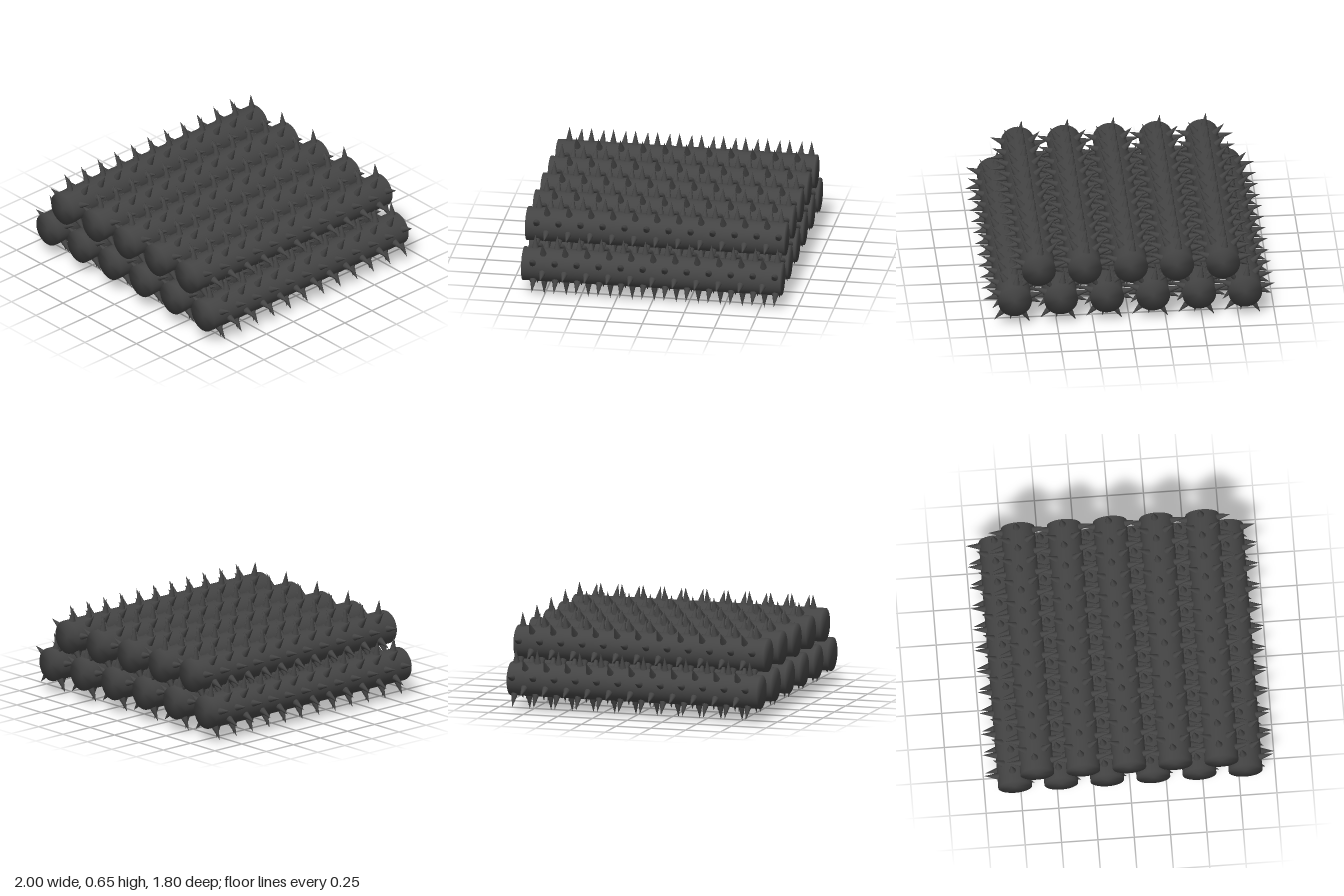
import * as THREE from 'three';
import { mergeGeometries, mergeVertices } from 'three/addons/utils/BufferGeometryUtils.js';

const RADIUS = 0.116, LENGTH = 1.8, TIP = 0.212, ROOT = 0.1;

// Solid bar along z, with shading that runs softly over the flat ends
function barGeometry() {
  const geo = new THREE.CylinderGeometry(RADIUS, RADIUS, LENGTH, 32);
  geo.rotateX(Math.PI / 2);
  geo.deleteAttribute('normal');
  geo.deleteAttribute('uv');
  const welded = mergeVertices(geo);
  welded.computeVertexNormals();
  return welded;
}

// Ring of five cones pointing outwards at depth z, turned by startDeg
function spikeRing(z, startDeg) {
  const cones = [];
  for (let i = 0; i < 5; i++) {
    const cone = new THREE.ConeGeometry(0.027, TIP - ROOT, 12, 1, true);
    cone.translate(0, (TIP + ROOT) / 2, 0);
    cone.rotateZ(THREE.MathUtils.degToRad(startDeg + i * 72 - 90));
    cone.translate(0, 0, z);
    cones.push(cone);
  }
  return cones;
}

// Two alternating sets of rings, staggered in angle and depth
function spikesGeometry() {
  const cones = [];
  for (let k = 0; k < 12; k++) {
    cones.push(...spikeRing(-0.862 + k * 0.153, 24));
    if (k < 11) cones.push(...spikeRing(-0.776 + k * 0.153, 60));
  }
  return mergeGeometries(cones);
}

export function createModel() {
  const model = new THREE.Group();
  model.name = 'spikedRollerStack';
  const material = new THREE.MeshStandardMaterial({ color: 0x444444 });
  const bar = barGeometry();
  const spikes = spikesGeometry();

  // Lower layer of six rollers, upper layer of five resting between them
  const layers = [
    { name: 'lowerRoller', count: 6, x: -0.793, y: 0.212 },
    { name: 'upperRoller', count: 5, x: -0.641, y: 0.443 },
  ];
  for (const layer of layers) {
    for (let i = 0; i < layer.count; i++) {
      const roller = new THREE.Group();
      roller.name = layer.name + (i + 1);
      const barMesh = new THREE.Mesh(bar, material);
      barMesh.name = 'bar';
      const spikeMesh = new THREE.Mesh(spikes, material);
      spikeMesh.name = 'spikes';
      roller.add(barMesh, spikeMesh);
      roller.position.set(layer.x + i * 0.317, layer.y, 0);
      model.add(roller);
    }
  }
  return model;
}
